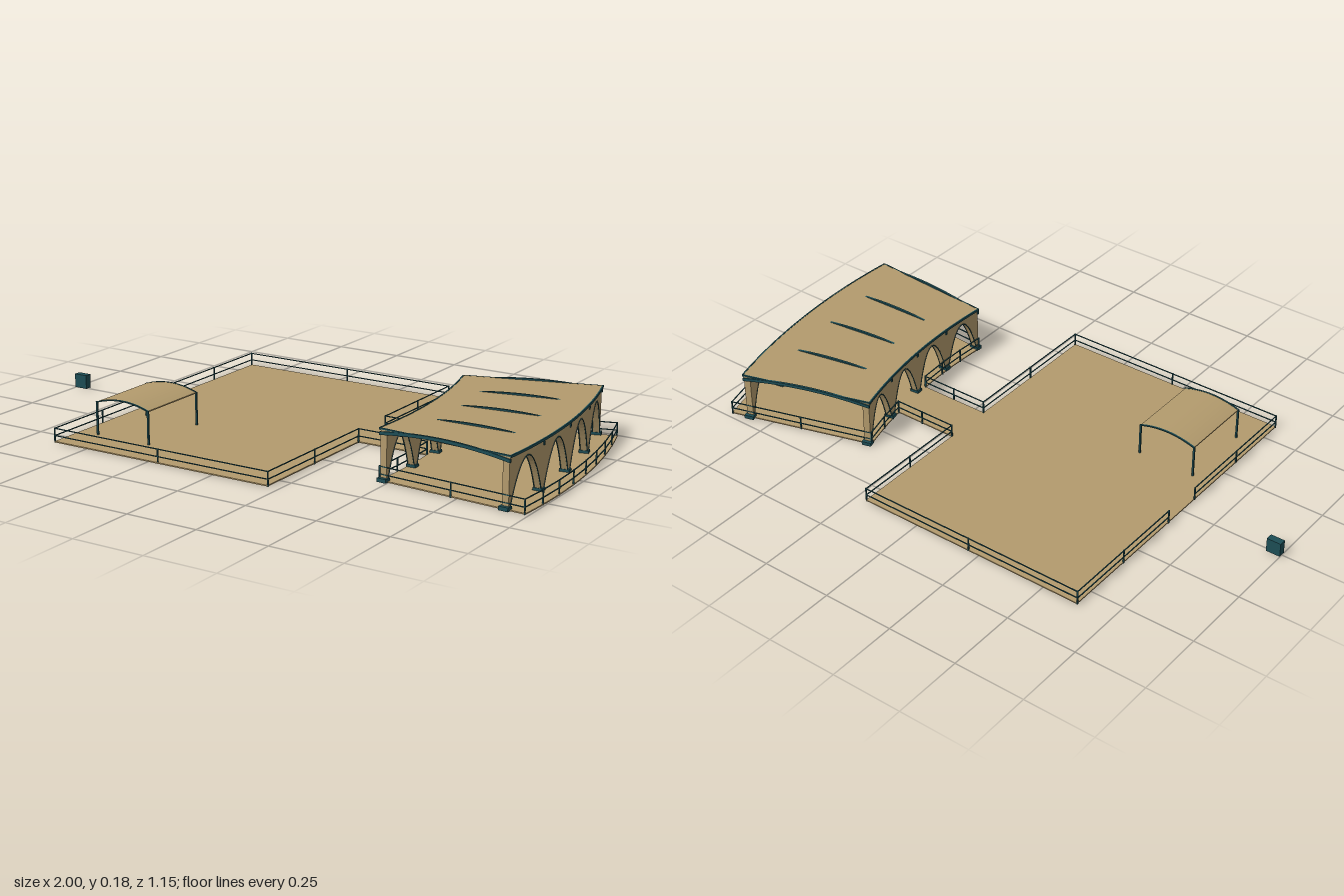
import * as THREE from 'three';

const sand = new THREE.MeshStandardMaterial({ name: 'sand', color: 0xb39b6d, side: THREE.DoubleSide });
const teal = new THREE.MeshStandardMaterial({ name: 'darkTeal', color: 0x1d4d55 });

// Pavilion plan: a ring sector about a distant centre
const CX = -1.375, CZ = 0.2, R_IN = 1.85, R_OUT = 2.317, R_DECK = 2.372;
const A0 = THREE.MathUtils.degToRad(-16.7), A1 = THREE.MathUtils.degToRad(4.33);
const BAYS = 4, STEP = (A1 - A0) / BAYS;
const polar = (r, a, y = 0) => new THREE.Vector3(CX + r * Math.cos(a), y, CZ + r * Math.sin(a));

function add(parent, name, geometry, material) {
  const mesh = new THREE.Mesh(geometry, material);
  mesh.name = name;
  parent.add(mesh);
  return mesh;
}

function box(parent, name, material, x0, x1, y0, y1, z0, z1) {
  const mesh = add(parent, name, new THREE.BoxGeometry(x1 - x0, y1 - y0, z1 - z0), material);
  mesh.position.set((x0 + x1) / 2, (y0 + y1) / 2, (z0 + z1) / 2);
  return mesh;
}

// Square bar between two points
function bar(parent, name, a, b, t) {
  const mesh = add(parent, name, new THREE.BoxGeometry(t, t, a.distanceTo(b) + t * 0.5), teal);
  mesh.position.copy(a).lerp(b, 0.5);
  mesh.lookAt(b);
}

// Flat ring sector between two heights
function sector(parent, name, material, r0, r1, y0, y1, a0 = A0, a1 = A1) {
  const shape = new THREE.Shape();
  shape.absarc(CX, CZ, r1, a0, a1, false);
  shape.absarc(CX, CZ, r0, a1, a0, true);
  const g = new THREE.ExtrudeGeometry(shape, { depth: y1 - y0, bevelEnabled: false, curveSegments: 24 });
  g.rotateX(Math.PI / 2).translate(0, y1, 0);
  return add(parent, name, g, material);
}

// Bend a geometry whose x is minus the angle and z is the radius
function bend(g) {
  const p = g.attributes.position;
  for (let i = 0; i < p.count; i++) {
    const v = polar(p.getZ(i), -p.getX(i), p.getY(i));
    p.setXYZ(i, v.x, v.y, v.z);
  }
  g.computeVertexNormals();
  return g;
}

// Posts at each point with a top and a middle rail
function railing(parent, points) {
  const up = (p, y) => new THREE.Vector3(p.x, y, p.z);
  points.forEach((p, i) => {
    bar(parent, 'railPost', up(p, 0), up(p, 0.049), 0.004);
    if (i === 0) return;
    for (const y of [0.048, 0.023]) bar(parent, 'rail', up(points[i - 1], y), up(p, y), 0.003);
  });
}

// One wall of parabolic arches with trim and feet
function arcade(parent, r0, r1) {
  const rm = (r0 + r1) / 2, h = STEP / 2, open = h - 0.009 / rm;
  const archY = t => 0.146 - 0.136 * t * t;
  for (let i = 0; i < BAYS; i++) {
    const mid = A0 + (i + 0.5) * STEP;
    const shape = new THREE.Shape();
    shape.moveTo(-mid - h, 0.166);
    shape.lineTo(-mid - h, 0.01);
    for (let k = -12; k <= 12; k++) shape.lineTo(-mid + open * k / 12, archY(k / 12));
    shape.lineTo(-mid + h, 0.01);
    shape.lineTo(-mid + h, 0.166);
    const g = new THREE.ExtrudeGeometry(shape, { depth: r1 - r0, bevelEnabled: false });
    add(parent, 'archWall', bend(g.translate(0, 0, r0)), sand);
    for (const r of [r0, r1]) {
      const pts = [];
      for (let k = -8; k <= 8; k++) pts.push(polar(r, mid + open * k / 8, archY(k / 8)));
      add(parent, 'archTrim', new THREE.TubeGeometry(new THREE.CatmullRomCurve3(pts), 24, 0.002, 4), teal);
    }
  }
  for (let i = 0; i <= BAYS; i++) {
    const a = A0 + i * STEP;
    const foot = add(parent, 'columnFoot', new THREE.BoxGeometry(r1 - r0 + 0.01, 0.013, 0.024), teal);
    foot.position.copy(polar(rm, a, 0.0065));
    foot.rotation.y = -a;
  }
}

export function createModel() {
  const model = new THREE.Group();
  model.name = 'plazaWithPavilion';
  const group = name => {
    const g = new THREE.Group();
    g.name = name;
    model.add(g);
    return g;
  };

  // Floors
  const floors = group('floors');
  box(floors, 'plazaFloor', sand, -0.63, 0.21, 0, 0.004, -0.575, 0.572);
  box(floors, 'walkway', sand, 0.21, 0.475, 0, 0.004, -0.135, 0.037);
  sector(floors, 'pavilionDeck', sand, R_IN, R_DECK, 0, 0.004);

  // Railings, with a gate gap on the right edge of the plaza
  const rails = group('railings');
  const line = (...xz) => railing(rails, xz.map(([x, z]) => new THREE.Vector3(x, 0, z)));
  line([-0.63, -0.08], [-0.63, -0.33], [-0.63, -0.573], [-0.21, -0.573], [0.21, -0.573],
    [0.21, -0.354], [0.21, -0.135], [0.34, -0.135], [0.444, -0.135]);
  line([-0.63, 0.07], [-0.63, 0.32], [-0.63, 0.57], [-0.21, 0.57], [0.21, 0.57],
    [0.21, 0.304], [0.21, 0.037], [0.34, 0.037], [0.466, 0.037]);
  const arc = (r, a, b, n) => Array.from({ length: n + 1 }, (_, i) => polar(r, a + (b - a) * i / n));
  railing(rails, [
    ...arc(R_IN, -0.182, A0, 2), polar((R_IN + R_DECK) / 2, A0),
    ...arc(R_DECK - 0.002, A0, A1, 8), polar((R_IN + R_DECK) / 2, A1),
    ...arc(R_IN, A1, -0.088, 3),
  ]);

  // Pavilion arcades and roof
  const pavilion = group('pavilion');
  arcade(pavilion, R_IN + 0.003, R_IN + 0.026);
  arcade(pavilion, R_OUT - 0.026, R_OUT - 0.003);
  sector(pavilion, 'roof', sand, R_IN + 0.001, R_OUT - 0.001, 0.164, 0.172);
  sector(pavilion, 'innerFascia', teal, R_IN - 0.003, R_IN + 0.002, 0.165, 0.173);
  sector(pavilion, 'outerFascia', teal, R_OUT - 0.002, R_OUT + 0.003, 0.165, 0.173);

  // Arched ribs that rise just through the roof
  const rm = (R_IN + R_OUT) / 2, half = (R_OUT - R_IN) / 2;
  for (let i = 0; i <= BAYS; i++) {
    const a = A0 + i * STEP;
    const ribY = t => 0.178 - 0.018 * t * t;
    const shape = new THREE.Shape();
    for (let k = -12; k <= 12; k++) shape.lineTo(half * k / 12, ribY(k / 12));
    for (let k = 12; k >= -12; k--) shape.lineTo(half * k / 12, ribY(k / 12) - 0.011);
    shape.curves.shift();
    const g = new THREE.ExtrudeGeometry(shape, { depth: 0.008, bevelEnabled: false });
    const rib = add(pavilion, 'roofRib', g.translate(0, 0, -0.004), teal);
    rib.position.copy(polar(rm, a));
    rib.rotation.y = -a;
    if (i === 0 || i === BAYS) {
      bar(pavilion, 'gableEdge', polar(R_IN, a, 0.17), polar(R_OUT, a, 0.17), 0.005);
    }
  }

  // Small vaulted canopy
  const canopy = group('canopy');
  const X0 = -0.557, X1 = -0.347, Z0 = 0.17, Z1 = 0.437;
  const vaultY = t => 0.136 - 0.018 * t * t;
  const vault = new THREE.Shape();
  const top = [];
  for (let k = -8; k <= 8; k++) top.push(new THREE.Vector2((X0 + X1) / 2 + (X1 - X0) / 2 * k / 8, vaultY(k / 8)));
  const under = top.map(p => new THREE.Vector2(p.x, p.y - 0.004)).reverse();
  vault.setFromPoints([...top, ...under]);
  const slab = (name, material, z0, z1) => add(canopy, name,
    new THREE.ExtrudeGeometry(vault, { depth: z1 - z0, bevelEnabled: false }).translate(0, 0, z0), material);
  slab('canopyRoof', sand, Z0, Z1);
  for (const z of [Z0, Z1]) {
    slab('canopyRim', teal, z - 0.003, z + 0.003).position.y = 0.001;
    for (const x of [X0, X1]) {
      bar(canopy, 'canopyLeg', new THREE.Vector3(x, 0, z), new THREE.Vector3(x, 0.117, z), 0.006);
    }
  }

  // Free-standing cabinet
  box(model, 'cabinet', teal, -1, -0.95, 0, 0.049, -0.013, 0.012);
  return model;
}
